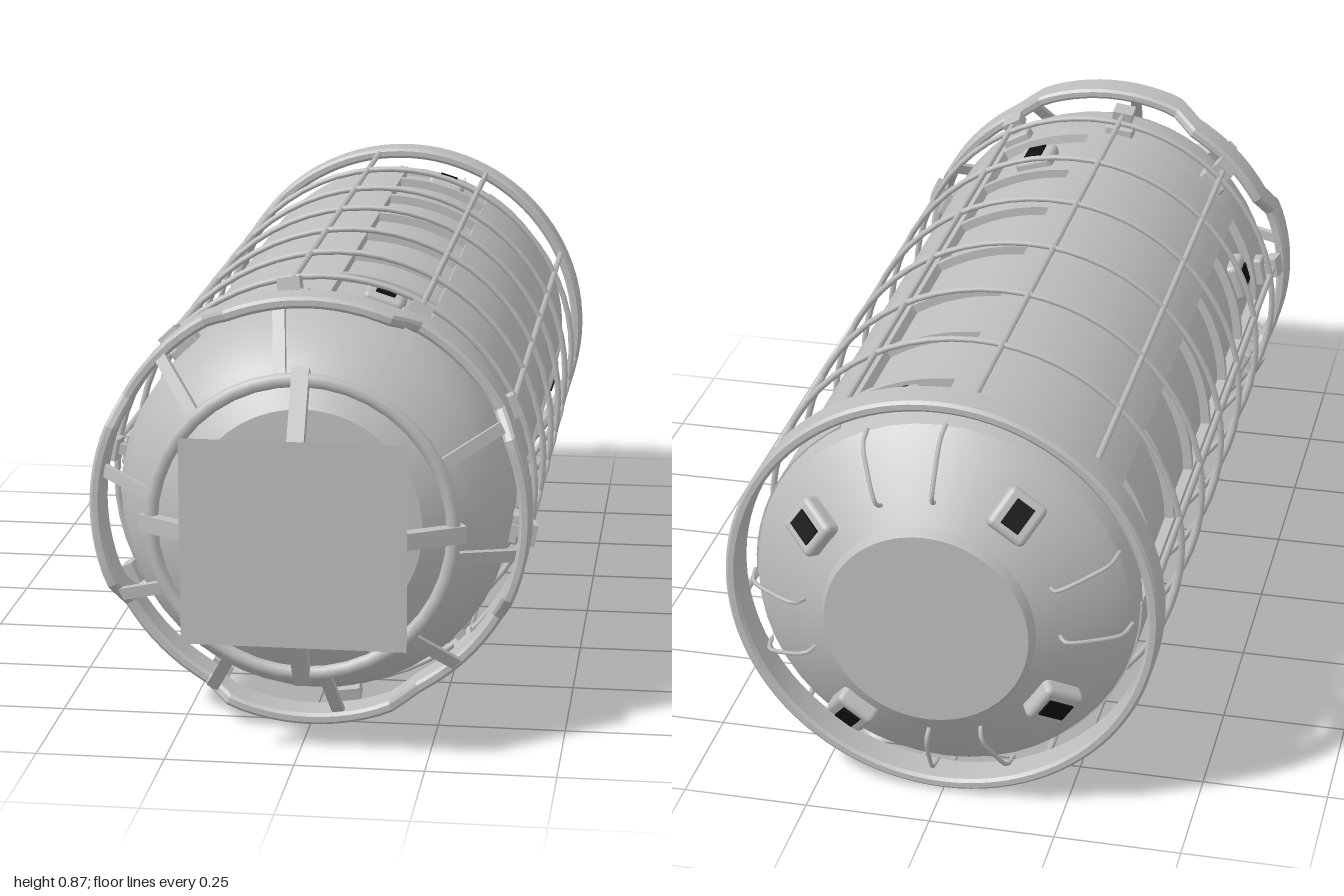
import * as THREE from 'three';
import { toCreasedNormals } from 'three/addons/utils/BufferGeometryUtils.js';
import { RoundedBoxGeometry } from 'three/addons/geometries/RoundedBoxGeometry.js';

const hullGrey = new THREE.MeshStandardMaterial({ color: 0xbebebe });
hullGrey.name = 'hull grey';
const windowBlack = new THREE.MeshStandardMaterial({ color: 0x101010 });
windowBlack.name = 'window black';

const rad = THREE.MathUtils.degToRad;
const V = (x, y, z) => new THREE.Vector3(x, y, z);

function add(parent, name, geometry, x = 0, y = 0, z = 0, material = hullGrey) {
  const mesh = new THREE.Mesh(geometry, material);
  mesh.name = name;
  mesh.position.set(x, y, z);
  parent.add(mesh);
  return mesh;
}

// Group turned about the long axis: local x is outward, y is around, z is along
function spoke(parent, name, degrees) {
  const g = new THREE.Group();
  g.name = name;
  g.rotation.z = rad(degrees);
  parent.add(g);
  return g;
}

// Profile of [radius, z] pairs, rear to front, spun about the long axis
function spin(profile, segments = 48) {
  const pts = profile.map(([r, z]) => new THREE.Vector2(r, z));
  return new THREE.LatheGeometry(pts, segments).rotateX(Math.PI / 2);
}
const crease = (g) => toCreasedNormals(g, 0.4);

// Straight rectangular bar between two points in a spoke's xz plane
function beam(parent, name, [r1, z1], [r2, z2], wide, thick) {
  const m = add(parent, name, new THREE.BoxGeometry(Math.hypot(r2 - r1, z2 - z1), wide, thick),
    (r1 + r2) / 2, 0, (z1 + z2) / 2);
  m.rotation.y = -Math.atan2(z2 - z1, r2 - r1);
  return m;
}

// Raised frame with a dark pane; its outward direction is local x
function hatch(parent, r, z, tilt) {
  const g = new THREE.Group();
  g.name = 'windowHatch';
  g.position.set(r, 0, z);
  g.rotation.y = tilt;
  parent.add(g);
  add(g, 'windowFrame', new RoundedBoxGeometry(0.05, 0.085, 0.09, 2, 0.012));
  add(g, 'windowPane', new THREE.BoxGeometry(0.006, 0.04, 0.056), 0.026, 0, 0, windowBlack);
}

// Flat hoop with bevelled edges
function band(inner, outer, half) {
  const b = 0.006;
  return spin([[inner, -half + b], [inner + b, -half], [outer - b, -half], [outer, -half + b],
    [outer, half - b], [outer - b, half], [inner + b, half], [inner, half - b], [inner, -half + b]], 96);
}

export function createModel() {
  const root = new THREE.Group();
  root.name = 'stationModule';
  const m = new THREE.Group();
  m.name = 'module';
  m.position.y = 0.44;
  root.add(m);

  const R = 0.385, CHANNEL = 0.366, HALF = 15.5;
  const channels = [73, 163, 253, 343];

  // Main hull with four sunken lengthwise channels
  const outline = [];
  for (const c of channels) {
    for (let i = 0; i <= 6; i++) outline.push([CHANNEL, c - HALF + i * HALF / 3]);
    for (let i = 0; i <= 12; i++) outline.push([R, c + HALF + i * (90 - 2 * HALF) / 12]);
  }
  const shape = new THREE.Shape(outline.map(([r, a]) =>
    new THREE.Vector2(r * Math.cos(rad(a)), r * Math.sin(rad(a)))));
  const hull = new THREE.ExtrudeGeometry(shape, { depth: 1.39, bevelEnabled: false });
  add(m, 'hull', crease(hull), 0, 0, -0.83);

  // Front collar and dome
  add(m, 'frontDome', crease(spin([[R - 0.03, 0.555], [R, 0.56], [R, 0.70], [0.36, 0.765],
    [0.31, 0.82], [0.23, 0.872], [0, 0.885]])));

  // Rear cone with its round end cap
  add(m, 'rearCone', crease(spin([[0, -1], [0.2, -1], [0.21, -0.98], [0.335, -0.9],
    [0.37, -0.865], [R, -0.82], [R - 0.03, -0.815]])));

  // Channel ribs and hull windows
  for (const c of channels) {
    const g = spoke(m, 'channel', c);
    for (let i = 0; i < 6; i++) {
      const rib = new THREE.Shape();
      rib.absarc(0, 0, 0.384, -rad(HALF), rad(HALF), false);
      rib.absarc(0, 0, 0.355, rad(HALF), -rad(HALF), true);
      add(g, 'channelRib', crease(new THREE.ExtrudeGeometry(rib,
        { depth: 0.018, bevelEnabled: false, curveSegments: 6 })), 0, 0, -0.70 + i * 0.21);
    }
    hatch(g, 0.362, 0.465, 0);
    hatch(g, 0.362, -0.765, 0);
  }

  // Rear cone windows and the pipe handrails between them
  for (let i = 0; i < 4; i++) {
    hatch(spoke(m, 'rearWindow', 35 + 90 * i), 0.284, -0.937, rad(57));
    for (const side of [-12, 12]) {
      const rail = new THREE.CatmullRomCurve3([V(0.375, 0, -0.87), V(0.365, 0, -0.915),
        V(0.335, 0, -0.94), V(0.265, 0, -0.972), V(0.25, 0, -0.95)]);
      add(spoke(m, 'rearRail', 80 + 90 * i + side), 'handrail',
        new THREE.TubeGeometry(rail, 14, 0.0045, 6));
    }
  }

  // Rear hoop
  add(m, 'rearHoop', crease(band(0.407, 0.43, 0.037)), 0, 0, -0.857);

  // Front hoop, stepped back at the four diagonals
  const hoop = band(0.407, 0.43, 0.037);
  const p = hoop.attributes.position;
  for (let i = 0; i < p.count; i++) {
    const a = THREE.MathUtils.radToDeg(Math.atan2(p.getY(i), p.getX(i))) + 360;
    const off = Math.abs(a % 90 - 45);
    p.setZ(i, p.getZ(i) - 0.055 * THREE.MathUtils.smoothstep(24 - off, 0, 10));
  }
  add(m, 'frontHoop', crease(hoop), 0, 0, 0.76);

  // Cage hoops
  for (let i = 0; i < 6; i++) {
    add(m, 'cageHoop', new THREE.TorusGeometry(0.421, 0.0065, 6, 60), 0, 0, 0.565 - i * 0.233);
  }

  // Ten cage bars, each with a clasp and a strut to the docking ring
  for (let i = 0; i < 10; i++) {
    const g = spoke(m, 'cageArm', -10 + 36 * i);
    add(g, 'cageBar', new THREE.CylinderGeometry(0.0065, 0.0065, 1.48, 6).rotateX(Math.PI / 2), 0.421, 0, -0.11);
    add(g, 'claspFoot', new RoundedBoxGeometry(0.03, 0.065, 0.04, 2, 0.006), 0.387, 0, 0.6);
    add(g, 'claspPost', new THREE.BoxGeometry(0.05, 0.022, 0.025), 0.402, 0, 0.615);
    const head = add(g, 'claspHead', new THREE.BoxGeometry(0.025, 0.045, 0.038), 0.421, 0, 0.622);
    head.rotation.y = 0.2;
    beam(g, 'frontStrut', [0.285, 0.885], [0.412, 0.775], 0.024, 0.012);
  }

  // Docking ring, its four braces and the end plate
  add(m, 'dockingRing', new THREE.TorusGeometry(0.291, 0.014, 8, 40), 0, 0, 0.885);
  for (let i = 0; i < 4; i++) {
    beam(spoke(m, 'dockingBrace', 90 * i), 'brace', [0.31, 0.878], [0.16, 0.968], 0.033, 0.024);
  }
  add(m, 'dockingNeck', new THREE.CylinderGeometry(0.11, 0.13, 0.06, 24).rotateX(Math.PI / 2), 0, 0, 0.89);
  const plate = new THREE.BoxGeometry(0.43, 0.402, 0.09);
  const q = plate.attributes.position;
  for (let i = 0; i < q.count; i++) {
    if (q.getZ(i) < 0) q.setXY(i, q.getX(i) * 0.66, q.getY(i) * 0.7);
  }
  plate.computeVertexNormals();
  add(m, 'dockingPlate', plate, 0, 0, 0.955);

  return root;
}
